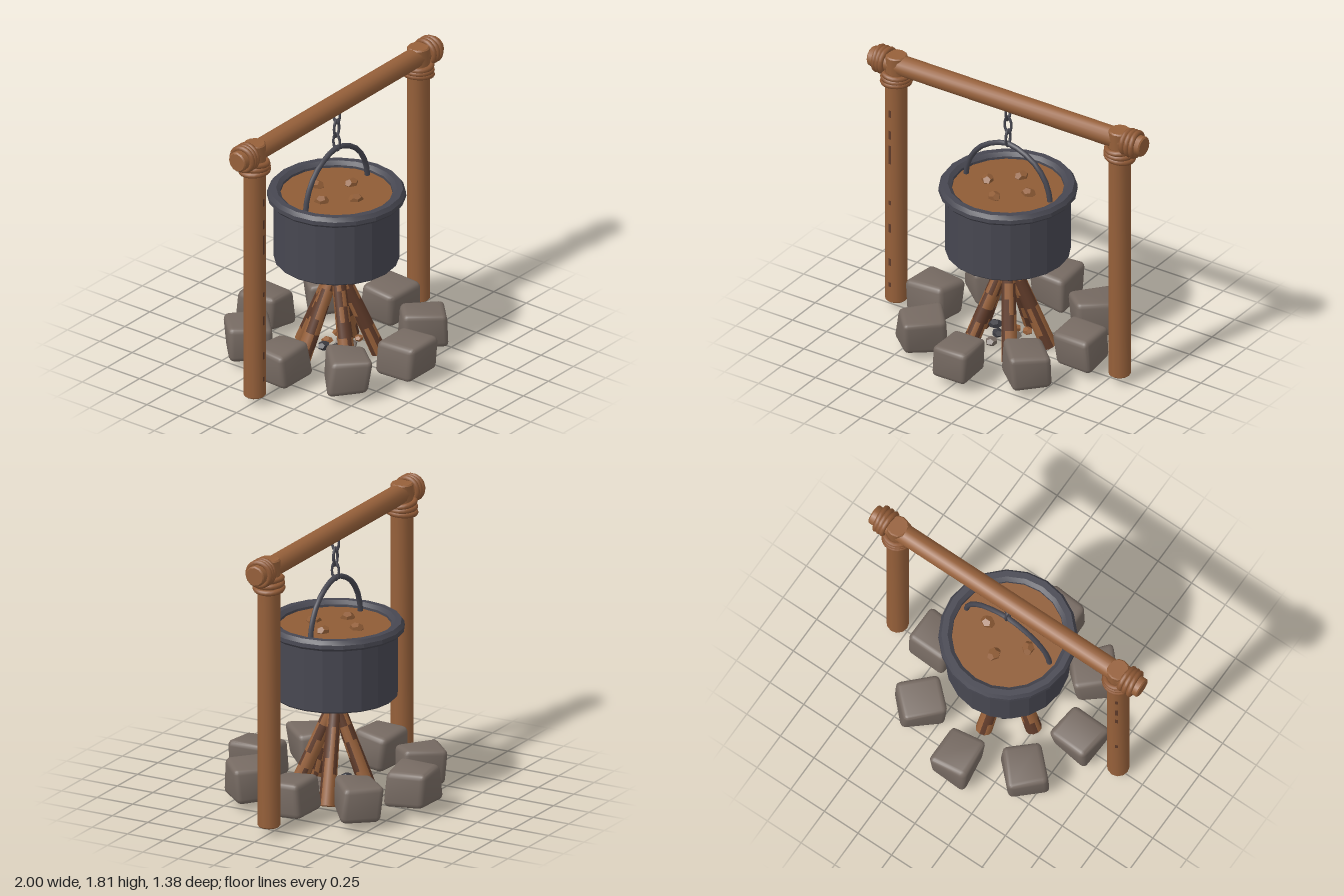
import * as THREE from 'three';
import { toCreasedNormals, mergeVertices } from 'three/addons/utils/BufferGeometryUtils.js';
import { RoundedBoxGeometry } from 'three/addons/geometries/RoundedBoxGeometry.js';

const flat = (name, color, side = THREE.FrontSide) => {
  const m = new THREE.MeshStandardMaterial({ color, side });
  m.name = name;
  return m;
};

export function createModel() {
  const root = new THREE.Group();
  const wood = flat('wood', 0x96603a);
  const bark = flat('darkBark', 0x5e3a29);
  const rope = flat('rope', 0x8f5935);
  const iron = flat('iron', 0x474751);
  const stew = flat('stew', 0x8f5c36);
  const stone = flat('stone', 0x766a62);
  const coal = flat('coal', 0x3a3a40);

  let seed = 7;
  const rand = () => (seed = (seed * 16807) % 2147483647) / 2147483647;
  const add = (name, geo, mat, parent = root) => {
    const mesh = new THREE.Mesh(geo, mat);
    mesh.name = name;
    parent.add(mesh);
    return mesh;
  };
  const crease = (geo, angle = 0.5) => toCreasedNormals(geo, angle);
  const group = (name) => {
    const g = new THREE.Group();
    g.name = name;
    root.add(g);
    return g;
  };

  // Wooden frame: crossbeam and two posts
  const frame = group('frame');
  const pole = (r, len) => {
    const b = 0.008;
    const pts = [[0, 0], [r - b, 0], [r, b], [r, len - b], [r - b, len], [0, len]];
    return crease(new THREE.LatheGeometry(pts.map(p => new THREE.Vector2(...p)), 12), 0.6);
  };
  const beam = add('crossbeam', pole(0.065, 2), wood, frame);
  beam.rotation.z = -Math.PI / 2;
  beam.position.set(-1, 1.725, 0);
  for (const s of [-1, 1]) {
    add('post', pole(0.07, 1.73), wood, frame).position.set(s * 0.82, 0.06, 0);

    // Rope coils around the post and around the beam end
    for (let i = 0; i < 3; i++) {
      const ring = add('postLashing', new THREE.TorusGeometry(0.084 - i * 0.002, 0.018, 8, 20), rope, frame);
      ring.position.set(s * 0.82, 1.605 + i * 0.03, 0);
      ring.rotation.set(Math.PI / 2 + 0.06 * (i - 1), 0.09 * s * (i - 1) - 0.05, 0);
      const loop = add('beamLashing', new THREE.TorusGeometry(0.073, 0.018, 8, 20), rope, frame);
      loop.position.set(s * (0.885 + i * 0.029), 1.725, 0);
      loop.rotation.set(0, Math.PI / 2 + 0.07 * (i - 1), 0.05 * i);
    }
  }

  // Dark knots on one post: [height, length, facing angle]
  const knots = [[1.4, 0.05, 0], [1.25, 0.06, 0], [1.11, 0.13, 0], [0.77, 0.03, 0], [0.59, 0.06, 0],
    [0.35, 0.05, 0], [0.19, 0.03, 0], [1.38, 0.05, 3.6], [1.2, 0.09, 3.6], [1.05, 0.06, 3.6], [0.6, 0.05, 3.6]];
  for (const [y, len, a] of knots) {
    add('postKnot', new THREE.CylinderGeometry(0.0715, 0.0715, len, 2, 1, true, a - 0.12, 0.24), bark, frame)
      .position.set(-0.82, y, 0);
  }

  // Cauldron with rolled rim, open top
  const pot = group('cauldron');
  const profile = [[0, 0.67], [0.375, 0.67], [0.385, 0.68], [0.385, 1.08], [0.415, 1.085], [0.427, 1.1],
    [0.425, 1.125], [0.408, 1.15], [0.37, 1.15], [0.345, 1.13], [0.34, 1.08]];
  add('potBody', crease(new THREE.LatheGeometry(profile.map(p => new THREE.Vector2(...p)), 20), 0.3), iron, pot);
  const surface = add('stewSurface', new THREE.CircleGeometry(0.345, 20), stew, pot);
  surface.rotation.x = -Math.PI / 2;
  surface.position.y = 1.115;
  for (let i = 0; i < 4; i++) {
    const a = i * Math.PI / 2;
    const chunk = add('stewChunk', new THREE.DodecahedronGeometry(0.048, 0), stew, pot);
    chunk.scale.set(1, 0.75, 0.85);
    chunk.rotation.y = a + i;
    chunk.position.set(0.15 * Math.cos(a), 1.12, 0.15 * Math.sin(a));
  }

  // Bail handle
  const half = [[0.31, 1.1], [0.3, 1.17], [0.27, 1.25], [0.21, 1.33], [0.13, 1.385]];
  const arch = [...half, [0, 1.425], ...half.slice().reverse().map(([x, y]) => [-x, y])];
  const curve = new THREE.CatmullRomCurve3(arch.map(([x, y]) => new THREE.Vector3(x, y, 0)));
  add('handle', new THREE.TubeGeometry(curve, 14, 0.017, 8), iron, pot);

  // Hanging chain of alternating links
  for (let i = 0; i < 3; i++) {
    const link = add('chainLink', new THREE.TorusGeometry(0.025, 0.0085, 6, 14), iron, pot);
    link.scale.y = 2;
    link.position.y = 1.465 + i * 0.0925;
    link.rotation.y = i % 2 ? 0 : Math.PI / 2;
  }

  // Ring of rounded, slightly uneven stones
  const ringGroup = group('stoneRing');
  for (let i = 0; i < 8; i++) {
    let geo = new RoundedBoxGeometry(0.25, 0.225, 0.275, 2, 0.035);
    const p = geo.attributes.position;
    const k = i * 1.7;
    for (let v = 0; v < p.count; v++) {
      const x = p.getX(v), y = p.getY(v), z = p.getZ(v);
      p.setXYZ(v,
        x * (1 + 0.25 * z) + 0.012 * Math.sin(9 * y + 7 * z + k),
        y + 0.01 * Math.sin(11 * x + 8 * z + 2 * k),
        z + 0.012 * Math.sin(10 * x + 9 * y + 3 * k));
    }
    geo.deleteAttribute('normal');
    geo.deleteAttribute('uv');
    geo = crease(mergeVertices(geo, 1e-4), 0.6);
    const a = i * Math.PI / 4;
    const mesh = add('stone', geo, stone, ringGroup);
    mesh.position.set(0.54 * Math.sin(a), 0.172, 0.54 * Math.cos(a));
    mesh.rotation.set(0, a + 0.06 * Math.sin(k), 0.05 * Math.sin(2 * k));
  }

  // Five leaning logs with patchy bark
  const fire = group('firewood');
  const up = new THREE.Vector3(0, 1, 0);
  for (let i = 0; i < 5; i++) {
    const a = Math.PI * (0.3 + 0.4 * i);
    const foot = new THREE.Vector3(0.26 * Math.cos(a), 0.03, 0.26 * Math.sin(a));
    const tip = new THREE.Vector3(0.03 * Math.cos(a), 0.565, 0.03 * Math.sin(a));
    const dir = tip.clone().sub(foot);
    const geo = new THREE.CylinderGeometry(0.042, 0.052, dir.length(), 10, 6);
    geo.clearGroups();
    const sideCount = 10 * 6 * 6;
    for (let f = 0; f < sideCount; f += 6) geo.addGroup(f, 6, rand() < 0.55 ? 1 : 0);
    geo.addGroup(sideCount, geo.index.count - sideCount, 0);
    const log = add('log', geo, [wood, bark], fire);
    log.position.copy(foot).add(tip).multiplyScalar(0.5);
    log.quaternion.setFromUnitVectors(up, dir.normalize());
  }

  // Small rubble and coals under the logs
  for (let i = 0; i < 9; i++) {
    const a = i * 2.4, r = 0.05 + 0.014 * i;
    const bit = add('rubble', new THREE.DodecahedronGeometry(0.028 + 0.012 * rand(), 0), [stone, coal, wood][i % 3], fire);
    bit.position.set(r * Math.cos(a), 0.07 + 0.04 * rand(), r * Math.sin(a));
    bit.scale.set(1.2, 0.7, 1);
    bit.rotation.y = a;
  }
  return root;
}
